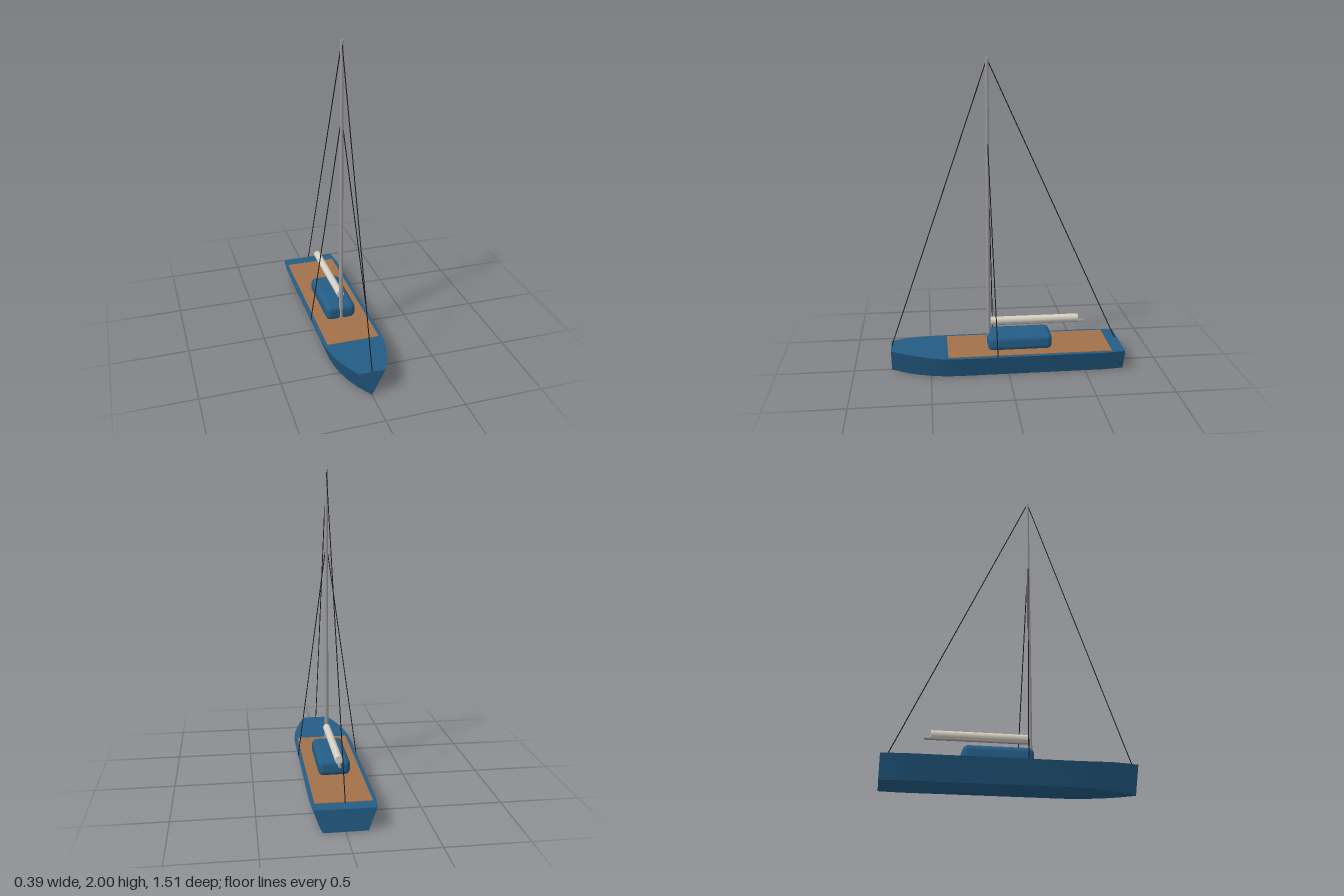
import * as THREE from 'three';
import { toCreasedNormals } from 'three/addons/utils/BufferGeometryUtils.js';
import { RoundedBoxGeometry } from 'three/addons/geometries/RoundedBoxGeometry.js';

const material = (name, color) => {
  const m = new THREE.MeshStandardMaterial({ color });
  m.name = name;
  return m;
};

// Hull skin lofted through four-cornered sections, closed at both ends
function hullGeometry(sections) {
  const rings = sections.map(([z, top, bottom, y]) => [
    [top, y, z], [-top, y, z], [-bottom, 0, z], [bottom, 0, z],
  ]);
  const pos = [];
  const quad = (a, b, c, d) => pos.push(...a, ...b, ...c, ...a, ...c, ...d);
  for (let i = 0; i < rings.length - 1; i++) {
    const r = rings[i], f = rings[i + 1];
    for (let k = 0; k < 4; k++) {
      const n = (k + 1) % 4;
      quad(r[k], r[n], f[n], f[k]);
    }
  }
  const bow = rings[rings.length - 1], stern = rings[0];
  quad(bow[0], bow[1], bow[2], bow[3]);
  quad(stern[3], stern[2], stern[1], stern[0]);
  const g = new THREE.BufferGeometry();
  g.setAttribute('position', new THREE.Float32BufferAttribute(pos, 3));
  return toCreasedNormals(g, 0.5);
}

export function createModel() {
  const boat = new THREE.Group();
  boat.name = 'sailboat';
  const blue = material('hull blue', 0x245d86);
  const wood = material('deck wood', 0xa2714a);
  const metal = material('spar metal', 0x9a9a9a);
  const canvas = material('sail canvas', 0xd9d2c4);
  const wire = material('rigging black', 0x1a1a1a);

  const add = (name, geometry, mat) => {
    const mesh = new THREE.Mesh(geometry, mat);
    mesh.name = name;
    boat.add(mesh);
    return mesh;
  };
  // Round rod running from one point to another
  const rod = (name, from, to, r0, r1, sides, mat) => {
    const a = new THREE.Vector3(...from), b = new THREE.Vector3(...to);
    const dir = b.clone().sub(a);
    const mesh = add(name, new THREE.CylinderGeometry(r1, r0, dir.length(), sides), mat);
    mesh.position.copy(a).add(b).multiplyScalar(0.5);
    mesh.quaternion.setFromUnitVectors(new THREE.Vector3(0, 1, 0), dir.normalize());
    return mesh;
  };

  // Hull sections: z, top half-width, bottom half-width, top height
  add('hull', hullGeometry([
    [-0.755, 0.18, 0.132, 0.14],
    [-0.69, 0.189, 0.14, 0.14],
    [-0.62, 0.195, 0.145, 0.14],
    [0.34, 0.195, 0.145, 0.14],
    [0.42, 0.19, 0.138, 0.142],
    [0.5, 0.177, 0.122, 0.147],
    [0.58, 0.157, 0.098, 0.153],
    [0.66, 0.13, 0.062, 0.158],
    [0.755, 0.085, 0.003, 0.165],
  ]), blue);

  // Deck and cabin
  add('deck', new THREE.BoxGeometry(0.34, 0.008, 1.06), wood).position.set(0, 0.14, -0.14);
  add('cabin', new RoundedBoxGeometry(0.2, 0.105, 0.42, 4, 0.035), blue).position.set(0, 0.1875, -0.08);

  // Mast, boom and furled sail
  rod('mast', [0, 0.14, 0.12], [0, 2, 0.12], 0.014, 0.01, 12, metal);
  rod('boom', [0, 0.291, 0.12], [0, 0.291, -0.51], 0.01, 0.01, 8, metal);
  rod('furledSail', [0, 0.316, 0.105], [0, 0.316, -0.47], 0.025, 0.025, 8, canvas);

  // Standing rigging
  const stay = (name, from, to) => rod(name, from, to, 0.003, 0.003, 6, wire);
  stay('forestay', [0, 0.163, 0.752], [0, 1.995, 0.12]);
  stay('backstay', [0, 0.16, -0.725], [0, 1.995, 0.12]);
  for (const [side, s] of [['left', 1], ['right', -1]]) {
    stay(side + 'Shroud', [s * 0.194, 0.14, 0.075], [0, 1.54, 0.12]);
  }
  return boat;
}
